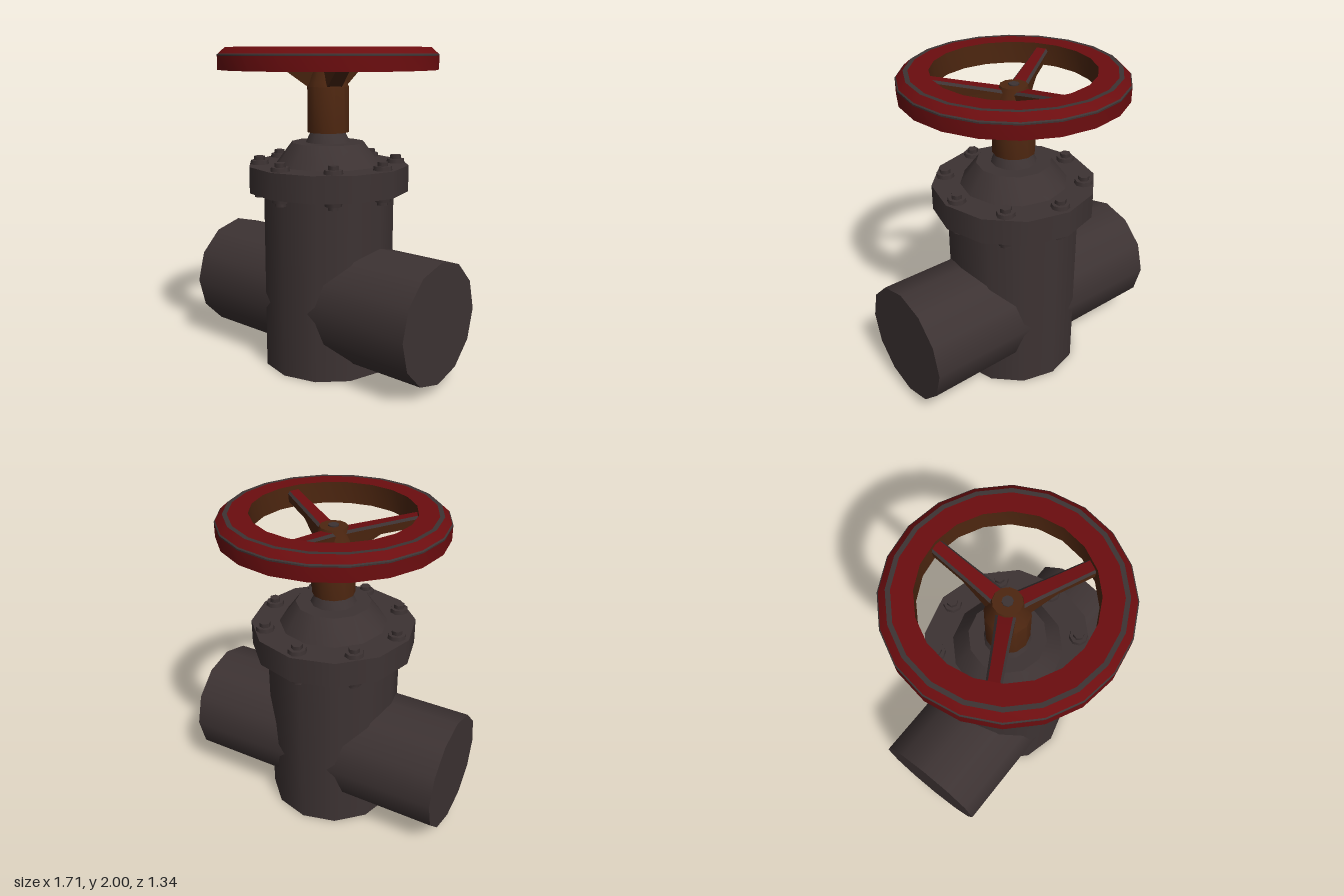
import * as THREE from 'three';
import { toCreasedNormals } from 'three/addons/utils/BufferGeometryUtils.js';

const material = (name, color) => {
  const m = new THREE.MeshStandardMaterial({ color });
  m.name = name;
  return m;
};

export function createModel() {
  const iron = material('dark iron', 0x3d3333);
  const red = material('red paint', 0x6b0d0f);
  const brown = material('rusty brown', 0x4d2610);

  const model = new THREE.Group();
  model.name = 'gateValve';

  const add = (name, geometry, mat, parent = model) => {
    const mesh = new THREE.Mesh(geometry, mat);
    mesh.name = name;
    parent.add(mesh);
    return mesh;
  };
  // Upright cylinder between two heights
  const cylinder = (rTop, rBottom, y0, y1, sides) =>
    new THREE.CylinderGeometry(rTop, rBottom, y1 - y0, sides).translate(0, (y0 + y1) / 2, 0);
  // Turned profile of [radius, height] points, sharp at its corners
  const turned = (profile, sides) =>
    toCreasedNormals(
      new THREE.LatheGeometry(profile.map(([r, y]) => new THREE.Vector2(r, y)), sides), 0.6);

  // Body and cross pipe
  add('body', cylinder(0.415, 0.415, 0, 1.15, 12), iron);
  const pipe = add('crossPipe', new THREE.CylinderGeometry(0.373, 0.373, 1.71, 12), iron);
  pipe.rotation.z = Math.PI / 2;
  pipe.position.y = 0.432;

  // Flange and bonnet
  add('flange', cylinder(0.505, 0.505, 1.128, 1.29, 12), iron);
  add('bonnet', turned([
    [0.335, 1.285], [0.23, 1.425], [0.14, 1.425], [0.108, 1.49], [0, 1.49],
  ], 12), iron);

  // Eight bolts through the flange, washer and nut on both sides
  for (let i = 0; i < 8; i++) {
    const angle = (i * Math.PI) / 4;
    const bolt = new THREE.Group();
    bolt.name = 'bolt';
    bolt.position.set(Math.sin(angle) * 0.427, 0, Math.cos(angle) * 0.427);
    bolt.rotation.y = angle;
    add('topWasher', cylinder(0.054, 0.058, 1.285, 1.315, 8), iron, bolt);
    add('topNut', cylinder(0.034, 0.034, 1.31, 1.34, 6), iron, bolt);
    add('bottomWasher', cylinder(0.054, 0.05, 1.102, 1.13, 8), iron, bolt);
    add('bottomNut', cylinder(0.034, 0.034, 1.08, 1.105, 6), iron, bolt);
    model.add(bolt);
  }

  // Hub sleeve with a tapered top and the stem end
  add('hub', turned([
    [0, 1.487], [0.131, 1.487], [0.131, 1.765], [0.118, 1.79], [0.083, 1.905], [0.05, 1.905], [0, 1.905],
  ], 12), brown);
  add('stemEnd', cylinder(0.032, 0.032, 1.89, 1.913, 8), iron);

  // Handwheel rim: painted faces, worn edge rings and bare inner wall
  const wheel = new THREE.Group();
  wheel.name = 'handwheel';
  model.add(wheel);
  add('rimOuter', turned([[0.48, 1.868], [0.672, 1.868], [0.672, 1.95]], 20), red, wheel);
  add('rimWornEdge', turned([[0.672, 1.95], [0.672, 1.958], [0.665, 1.964]], 20), iron, wheel);
  add('rimChamfer', turned([[0.665, 1.964], [0.624, 2]], 20), red, wheel);
  add('rimWornRing', turned([[0.624, 2], [0.597, 2]], 20), iron, wheel);
  add('rimTop', turned([[0.597, 2], [0.48, 2]], 20), red, wheel);
  add('rimInner', turned([[0.48, 2], [0.48, 1.868]], 20), brown, wheel);

  // Spoke cross-sections: radius, top height, bottom height, half widths at top and bottom
  const stations = [
    [0.05, 1.885, 1.74, 0.056, 0.05],
    [0.13, 1.902, 1.772, 0.052, 0.046],
    [0.27, 1.93, 1.868, 0.047, 0.042],
    [0.49, 1.975, 1.91, 0.042, 0.038],
  ];
  const positions = [];
  stations.forEach(([r, top, bottom, wt, wb]) => positions.push(
    r, bottom, wb, r, top - 0.015, wt, r, top, wt * 0.72,
    r, top, -wt * 0.72, r, top - 0.015, -wt, r, bottom, -wb));
  const index = [];
  const indexed = new THREE.BufferGeometry();
  for (let k = 0; k < 6; k++) {
    indexed.addGroup(index.length, 18, k);
    for (let s = 0; s < 3; s++) {
      const a = s * 6 + k, d = s * 6 + ((k + 1) % 6);
      index.push(a, a + 6, d + 6, a, d + 6, d);
    }
  }
  indexed.setAttribute('position', new THREE.Float32BufferAttribute(positions, 3));
  indexed.setIndex(index);
  const spokeGeometry = indexed.toNonIndexed();
  spokeGeometry.computeVertexNormals();

  // Three spokes: bare sides, worn edges, painted top
  for (let i = 0; i < 3; i++) {
    const spoke = add('spoke', spokeGeometry, [brown, iron, red, iron, brown, brown], wheel);
    spoke.rotation.y = Math.PI / 2 + (i * Math.PI * 2) / 3;
  }

  return model;
}
